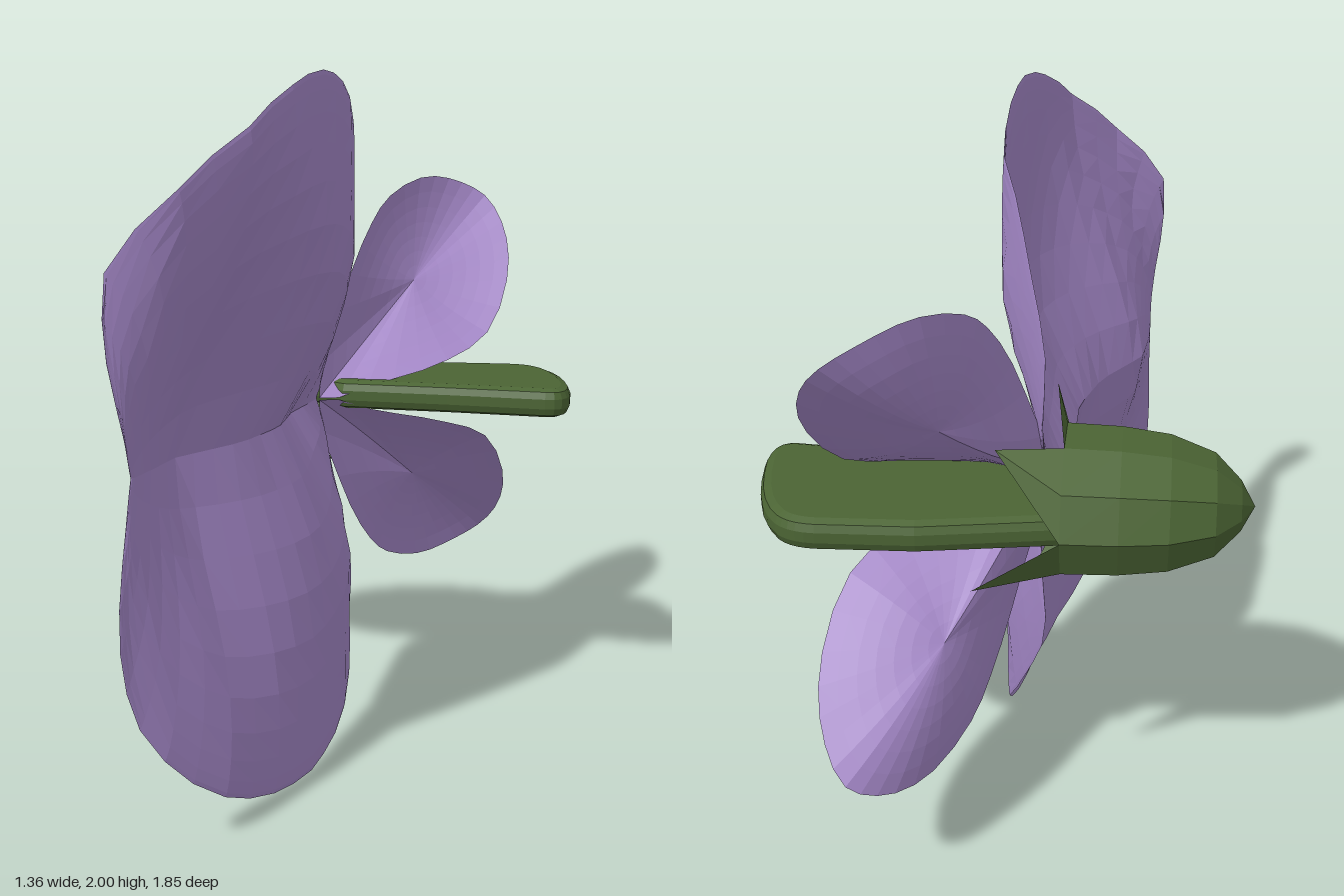
import * as THREE from 'three';

const material = (color) => new THREE.MeshStandardMaterial({ color, flatShading: true, side: THREE.DoubleSide });
const V = (x, y, z) => new THREE.Vector3(x, y, z);
const { lerp, smoothstep } = THREE.MathUtils;

function addMesh(parent, name, geometry, mat) {
  const mesh = new THREE.Mesh(geometry, mat);
  mesh.name = name;
  parent.add(mesh);
  return mesh;
}

// Grid surface from a rule point(u, v)
function surface(nu, nv, point) {
  const pos = [], index = [];
  for (let j = 0; j <= nv; j++) {
    for (let i = 0; i <= nu; i++) {
      pos.push(...point(i / nu, j / nv).toArray());
      if (i < nu && j < nv) {
        const a = j * (nu + 1) + i, b = a + 1, c = a + nu + 1, d = c + 1;
        index.push(a, b, d, a, d, c);
      }
    }
  }
  const geometry = new THREE.BufferGeometry();
  geometry.setAttribute('position', new THREE.Float32BufferAttribute(pos, 3));
  geometry.setIndex(index);
  geometry.computeVertexNormals();
  return geometry;
}

// Linear lookup in [z, x] pairs ordered by falling z
function lookup(table, z) {
  if (z >= table[0][0]) return table[0][1];
  for (let i = 1; i < table.length; i++) {
    const [z0, x0] = table[i - 1], [z1, x1] = table[i];
    if (z >= z1) return x0 + (x1 - x0) * (z0 - z) / (z0 - z1);
  }
  return table[table.length - 1][1];
}

// Depth of the big petal along the rim of each lobe and along the middle crease
const upperRim = [[0.91, -0.43], [0.88, -0.35], [0.83, -0.25], [0.66, -0.11], [0.47, -0.04], [0.25, 0.005],
  [0, 0.025], [-0.12, 0.02], [-0.25, -0.05], [-0.38, -0.12]];
const lowerRim = [[0.93, -0.39], [0.9, -0.37], [0.84, -0.3], [0.7, -0.19], [0.5, -0.1], [0.28, -0.035],
  [0, 0.01], [-0.12, 0.01], [-0.25, -0.05], [-0.38, -0.12]];
const crease = [[0.93, -0.4], [0.83, -0.385], [0.6, -0.35], [0.4, -0.22], [0.2, -0.16], [0, -0.16], [-0.22, -0.11], [-0.38, -0.12]];

// One lobe of the big petal, spread from the crease to its outline (z, y);
// front and back sheets meet at the rim
function lobe(outline, rimDepth) {
  const curve = new THREE.CatmullRomCurve3(outline.map(([z, y]) => V(0, y, z)));
  return surface(26, 20, (u, v) => {
    const rim = curve.getPointAt(u);
    const s = Math.sin((1 - Math.abs(2 * v - 1)) * Math.PI / 2);
    const along = 0.5 + 0.5 * Math.cos(u * Math.PI);
    const z = lerp(-0.22 + 1.05 * along, rim.z, s);
    const y = lerp(1.01, rim.y, s);
    // The lobe rises quickly from the crease at the back, slowly at the front
    const slow = smoothstep(z, 0.1, 0.6);
    const height = Math.min(1, Math.abs(y - 1.01) / lerp(0.55, 0.88, slow));
    const lift = Math.sin(height * Math.PI / 2) ** lerp(1, 1.5, slow);
    const thickness = 0.018 * Math.sqrt(1 - s * s) * Math.sin(u * Math.PI) * (v < 0.5 ? 1 : -1);
    return V(lerp(lookup(crease, z), lookup(rimDepth, z), lift) + thickness, y, z);
  });
}

// Cupped side petal from a closed outline, inner and outer sheets meeting at the rim
function sidePetal() {
  const loop = new THREE.CatmullRomCurve3([
    V(-0.1, 1.01, -0.22), V(0.07, 1.05, -0.28), V(0.26, 1.1, -0.39), V(0.4, 1.18, -0.55),
    V(0.455, 1.36, -0.73), V(0.43, 1.5, -0.85), V(0.36, 1.6, -0.925), V(0.27, 1.65, -0.89),
    V(0.17, 1.67, -0.78), V(0.07, 1.615, -0.6), V(0.02, 1.52, -0.47), V(-0.04, 1.32, -0.32),
  ], true);
  const center = V(0.18, 1.37, -0.58);
  const inward = V(0.25, 0.25, 0.38).normalize();
  return surface(28, 14, (u, v) => {
    const t = Math.abs(2 * v - 1);
    const cup = v < 0.5 ? 0.065 : 0.1;
    const edge = loop.getPoint(u);
    return center.clone().lerp(edge, 1 - t).addScaledVector(inward, -cup * (1 - (1 - t) ** 2));
  });
}

// Flat rounded keel, outline in (x, z)
function keelGeometry() {
  const shape = new THREE.Shape();
  shape.moveTo(-0.2, -0.36);
  shape.lineTo(-0.03, -0.25);
  shape.lineTo(0.3, -0.235);
  shape.lineTo(0.6, -0.21);
  shape.quadraticCurveTo(0.68, -0.2, 0.675, -0.33);
  shape.quadraticCurveTo(0.65, -0.56, 0.57, -0.64);
  shape.quadraticCurveTo(0.53, -0.68, 0.46, -0.68);
  shape.lineTo(0.2, -0.67);
  shape.lineTo(-0.2, -0.6);
  const geometry = new THREE.ExtrudeGeometry(shape, {
    depth: 0.03, bevelThickness: 0.03, bevelSize: 0.03, bevelOffset: -0.03, bevelSegments: 2, curveSegments: 5,
  });
  geometry.rotateX(Math.PI / 2);
  geometry.translate(0, 1.03, 0);
  return geometry;
}

// Cup of the calyx with five pointed sepals around its mouth
function calyxGeometry() {
  const rings = [[-0.68, 0], [-0.64, 0.35], [-0.57, 0.7], [-0.45, 0.92], [-0.32, 1], [-0.17, 1.02]];
  const tips = [V(-0.19, 0.95, -0.1), V(-0.14, 1.3, -0.28), V(0.01, 1.2, -0.5), V(0.05, 0.91, -0.73), V(-0.08, 0.77, -0.39)];
  return surface(10, 6, (u, v) => {
    const side = Math.round(u * 10) % 10, ring = Math.round(v * 6);
    if (ring === 6 && side % 2 === 0) return tips[side / 2];
    const [x, r] = rings[Math.min(ring, 5)];
    const a = side * Math.PI / 5;
    return V(x, 1.015 + 0.195 * r * Math.sin(a), -0.405 + 0.245 * r * Math.cos(a));
  });
}

export function createModel() {
  const flower = new THREE.Group();
  flower.name = 'flower';
  const purple = material(0xa286c5);
  const green = material(0x4b6434);

  // Big two-lobed petal
  const banner = new THREE.Group();
  banner.name = 'bannerPetal';
  flower.add(banner);
  addMesh(banner, 'upperLobe', lobe([[0.83, 1.01], [0.9, 1.22], [0.91, 1.5], [0.83, 1.7], [0.66, 1.86], [0.47, 1.96],
    [0.25, 2], [0, 1.95], [-0.15, 1.84], [-0.28, 1.6], [-0.36, 1.4], [-0.32, 1.2], [-0.22, 1.01]], upperRim), purple);
  addMesh(banner, 'lowerLobe', lobe([[0.83, 1.01], [0.89, 0.85], [0.93, 0.65], [0.91, 0.45], [0.84, 0.26], [0.7, 0.11],
    [0.5, 0.03], [0.28, 0], [0.05, 0.03], [-0.1, 0.12], [-0.22, 0.27], [-0.33, 0.45], [-0.38, 0.57], [-0.32, 0.8], [-0.22, 1.01]], lowerRim), purple);

  // Side petals, mirrored about the flower's middle plane
  for (const name of ['upperSidePetal', 'lowerSidePetal']) {
    const petal = addMesh(flower, name, sidePetal(), purple);
    if (name === 'lowerSidePetal') {
      petal.scale.y = -1;
      petal.position.y = 2.015;
    }
  }

  // Green parts
  addMesh(flower, 'keel', keelGeometry(), green);
  addMesh(flower, 'calyx', calyxGeometry(), green);
  return flower;
}
